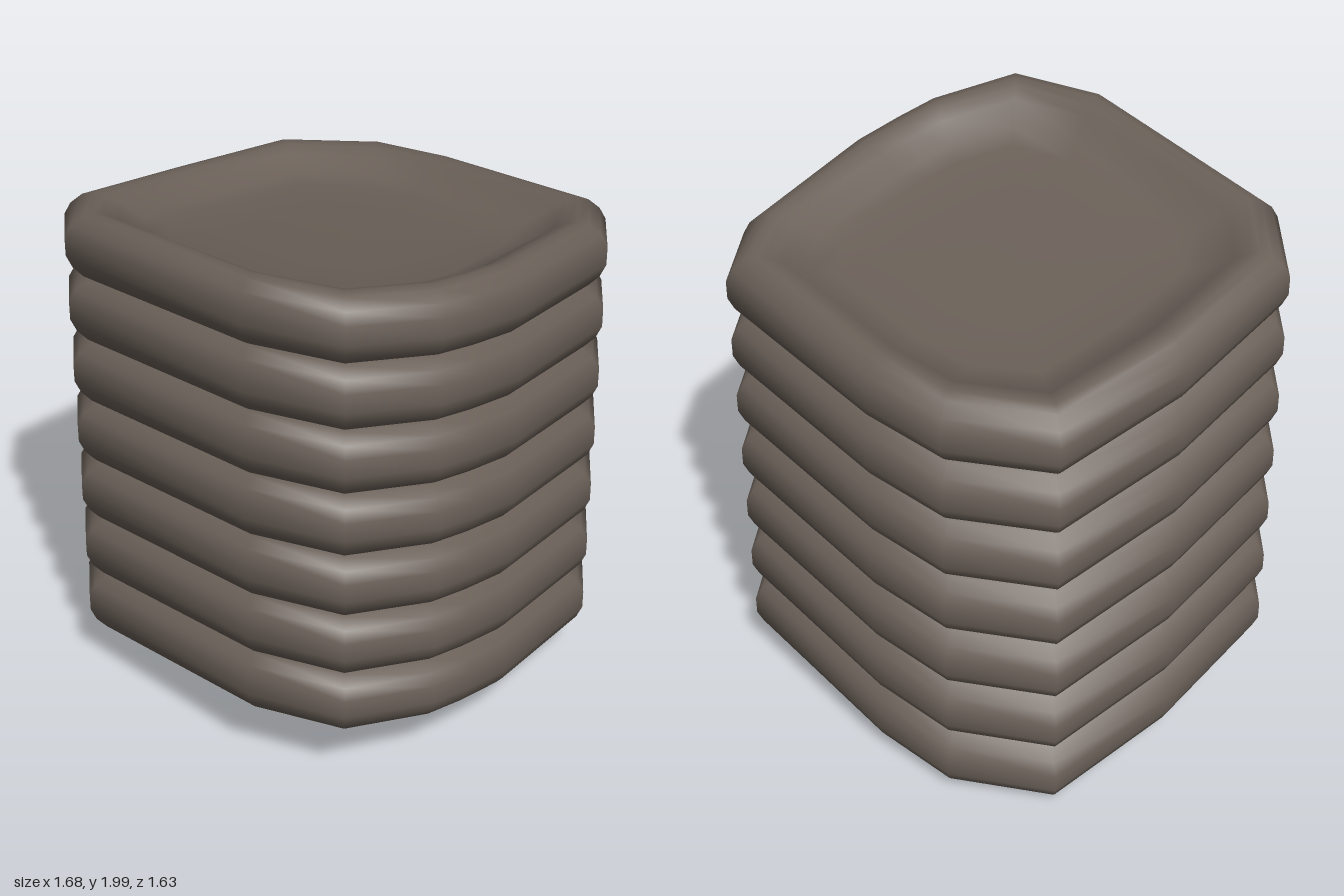
import * as THREE from 'three';

// Outline of one dish seen from above (x, z), clockwise from the back left corner
const OUTLINE = [
  [-0.80, -0.55], [-0.48, -0.78], [-0.15, -0.82], [0.59, -0.79], [0.76, -0.57],
  [0.84, 0.0], [0.83, 0.2], [0.81, 0.37], [0.67, 0.69], [0.32, 0.81],
  [-0.57, 0.76], [-0.80, 0.56], [-0.84, 0.0],
];

// Section from the top centre, over the rounded rim, to the bottom centre (scale, height)
const PROFILE = [
  [0, 0.025], [0.4, 0.025], [0.62, 0.032], [0.71, 0.05], [0.8, 0.1], [0.85, 0.122],
  [0.89, 0.128], [0.93, 0.118], [0.975, 0.08], [1, 0.035], [1, -0.035], [0.978, -0.08],
  [0.94, -0.115], [0.9, -0.13], [0.86, -0.126], [0.81, -0.102], [0.72, -0.05],
  [0.62, -0.03], [0.4, -0.02], [0, -0.02],
];

const LAYERS = 7;
const BASE = 0.266;
const SPACING = 0.248;

// Closed dish: the outline scaled along the section, tilted and slightly sagging
function dishGeometry(slopeX) {
  const n = OUTLINE.length;
  const last = PROFILE.length - 2;
  const positions = [];
  const index = [];
  for (const [s, h] of PROFILE) {
    for (const [ox, oz] of OUTLINE) {
      const x = ox * s;
      const z = oz * s;
      positions.push(x, h + slopeX * x + 0.12 * z + 0.05 * (z * z - 0.45), z);
    }
  }
  for (let j = 0; j <= last; j++) {
    for (let i = 0; i < n; i++) {
      const a = j * n + i;
      const b = j * n + (i + 1) % n;
      // The first and last rings are single points, so they need one triangle per side
      if (j > 0) index.push(a, b, a + n);
      if (j < last) index.push(b, b + n, a + n);
    }
  }
  const geometry = new THREE.BufferGeometry();
  geometry.setAttribute('position', new THREE.Float32BufferAttribute(positions, 3));
  geometry.setIndex(index);
  geometry.computeVertexNormals();
  return geometry;
}

export function createModel() {
  const group = new THREE.Group();
  group.name = 'dishStack';
  const material = new THREE.MeshStandardMaterial({ color: 0x6a6058 });
  material.name = 'greyBrown';

  // Tilted dishes stacked rim on rim, the lower ones leaning a little more
  for (let k = 0; k < LAYERS; k++) {
    const lean = 1 - k / (LAYERS - 1);
    const dish = new THREE.Mesh(dishGeometry(0.07 + 0.023 * lean), material);
    dish.name = `dish${k + 1}`;
    dish.position.y = BASE + k * SPACING;
    group.add(dish);
  }
  return group;
}
